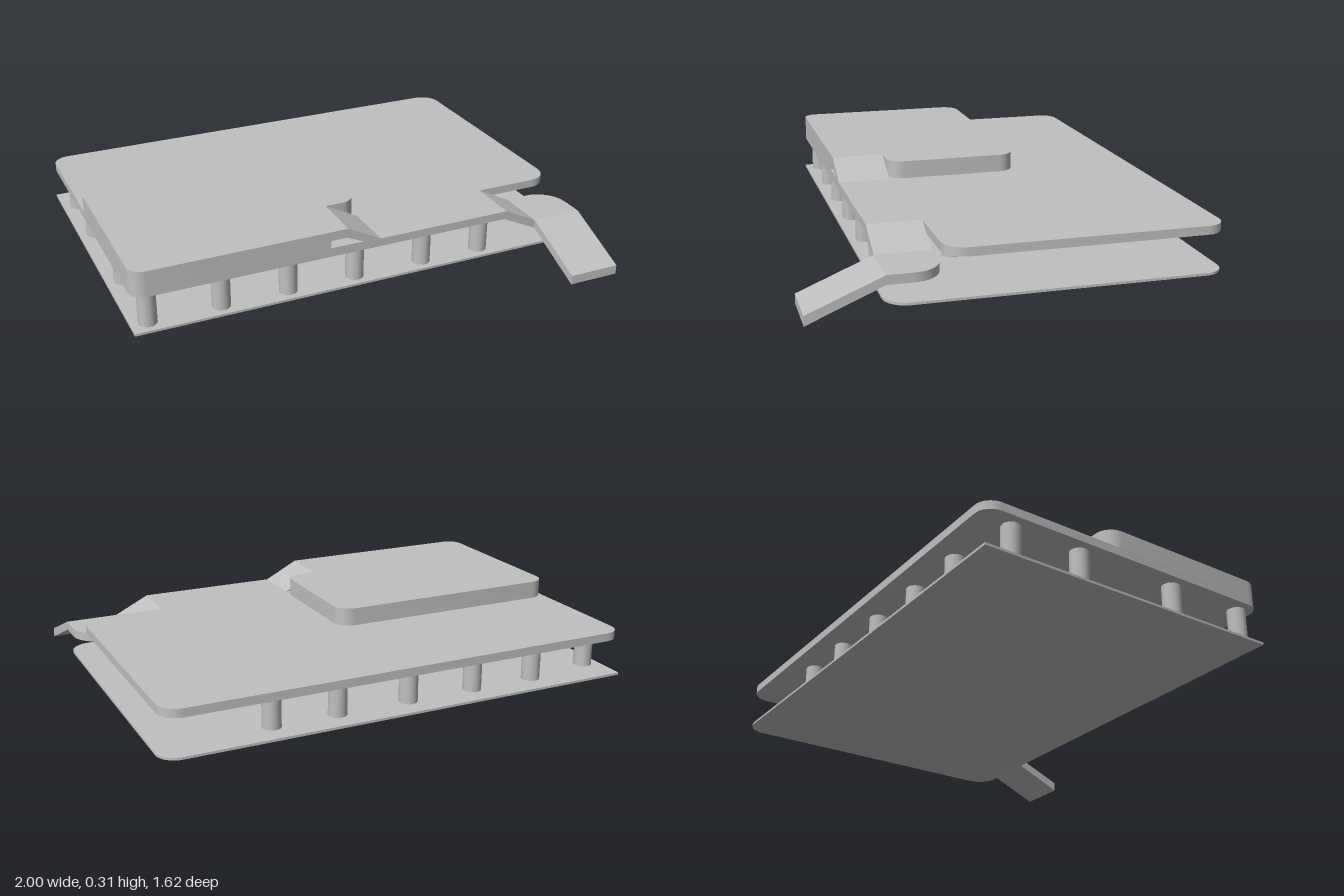
import * as THREE from 'three';
import { toCreasedNormals } from 'three/addons/utils/BufferGeometryUtils.js';

// Outline from [x, y, cornerRadius] points, with rounded corners
function outline(points) {
  const shape = new THREE.Shape();
  const n = points.length;
  points.forEach(([x, y, r = 0], i) => {
    const p = new THREE.Vector2(x, y);
    const toward = (q, d) => p.clone().add(new THREE.Vector2(q[0] - x, q[1] - y).setLength(d));
    const before = points[(i + n - 1) % n], after = points[(i + 1) % n];
    const a = r ? toward(before, r) : p, b = r ? toward(after, r) : p;
    if (i === 0) shape.moveTo(a.x, a.y); else shape.lineTo(a.x, a.y);
    if (r) {
      const c1 = toward(before, r * 0.448), c2 = toward(after, r * 0.448);
      shape.bezierCurveTo(c1.x, c1.y, c2.x, c2.y, b.x, b.y);
    }
  });
  shape.closePath();
  return shape;
}

const extrude = (shape, depth) =>
  new THREE.ExtrudeGeometry(shape, { depth, bevelEnabled: false, curveSegments: 10 });

// Horizontal slab from a plan of [x, z, radius] points
function slab(points, y0, y1) {
  const g = extrude(outline(points.map(([x, z, r]) => [x, -z, r])), y1 - y0);
  return toCreasedNormals(g.rotateX(-Math.PI / 2).translate(0, y0, 0), 0.6);
}

export function createModel() {
  const model = new THREE.Group();
  model.name = 'raisedDeck';
  const grey = new THREE.MeshStandardMaterial({ color: 0xc0c0c0 });
  grey.name = 'light grey';
  const add = (name, geometry) => {
    const mesh = new THREE.Mesh(geometry, grey);
    mesh.name = name;
    model.add(mesh);
    return mesh;
  };

  const front = 0.515, back = -0.81, inner = 0.295, stripX = -0.25;

  // Thin ground plate, rounded on the right
  add('basePlate', slab([[-1, front], [1, front, 0.09], [1, back, 0.08], [-1, back]], 0.04, 0.05));

  // Main deck, leaving room for the walkway strip at the front
  add('deck', slab([[-1, front, 0.06], [stripX, front], [stripX, inner],
    [0.99, inner, 0.09], [0.99, back, 0.08], [-1, back, 0.07]], 0.2, 0.235));

  // Upper platform
  add('upperPlatform', slab([[-1, front, 0.06], [stripX, front], [stripX, inner],
    [0.035, inner, 0.07], [0.035, -0.27, 0.07], [-1, -0.27, 0.07]], 0.235, 0.31));

  // Front walkway: slopes from the platform to the deck, then down to the landing
  const profile = outline([[stripX, 0.2], [0.62, 0.2], [0.777, 0.125], [0.777, 0.162],
    [0.63, 0.235], [0.035, 0.235], [-0.11, 0.31], [stripX, 0.31]]);
  profile.holes.push(new THREE.Path([[-0.185, 0.238], [-0.185, 0.271], [-0.115, 0.271], [-0.042, 0.238]]
    .map(([x, y]) => new THREE.Vector2(x, y))));
  add('frontWalkway', extrude(profile, front - inner).translate(0, 0, inner));

  // Corner landing
  add('landing', slab([[0.777, front], [1, front], [1, inner, 0.12], [0.777, inner]], 0.125, 0.162));

  // Ramp to the ground, side profile drawn as [-z, y]
  const ramp = outline([[-0.81, 0], [-front, 0.125], [-front, 0.162], [-0.81, 0.04]]);
  add('ramp', extrude(ramp, 0.223).rotateY(Math.PI / 2).translate(0.777, 0, 0));

  // Columns: the left row stands slightly forward or back of the others
  const columnGeometry = new THREE.CylinderGeometry(0.038, 0.038, 0.15, 24).translate(0, 0.125, 0);
  const columnX = [-0.93, -0.63, -0.345, -0.05, 0.26, 0.535];
  const leftZ = [0.45, 0.1, -0.35, -0.655], otherZ = [0.45, 0.155, -0.29, -0.7];
  columnX.forEach((x, i) => {
    for (const z of i === 0 ? leftZ : otherZ) add('column', columnGeometry).position.set(x, 0, z);
  });

  return model;
}
